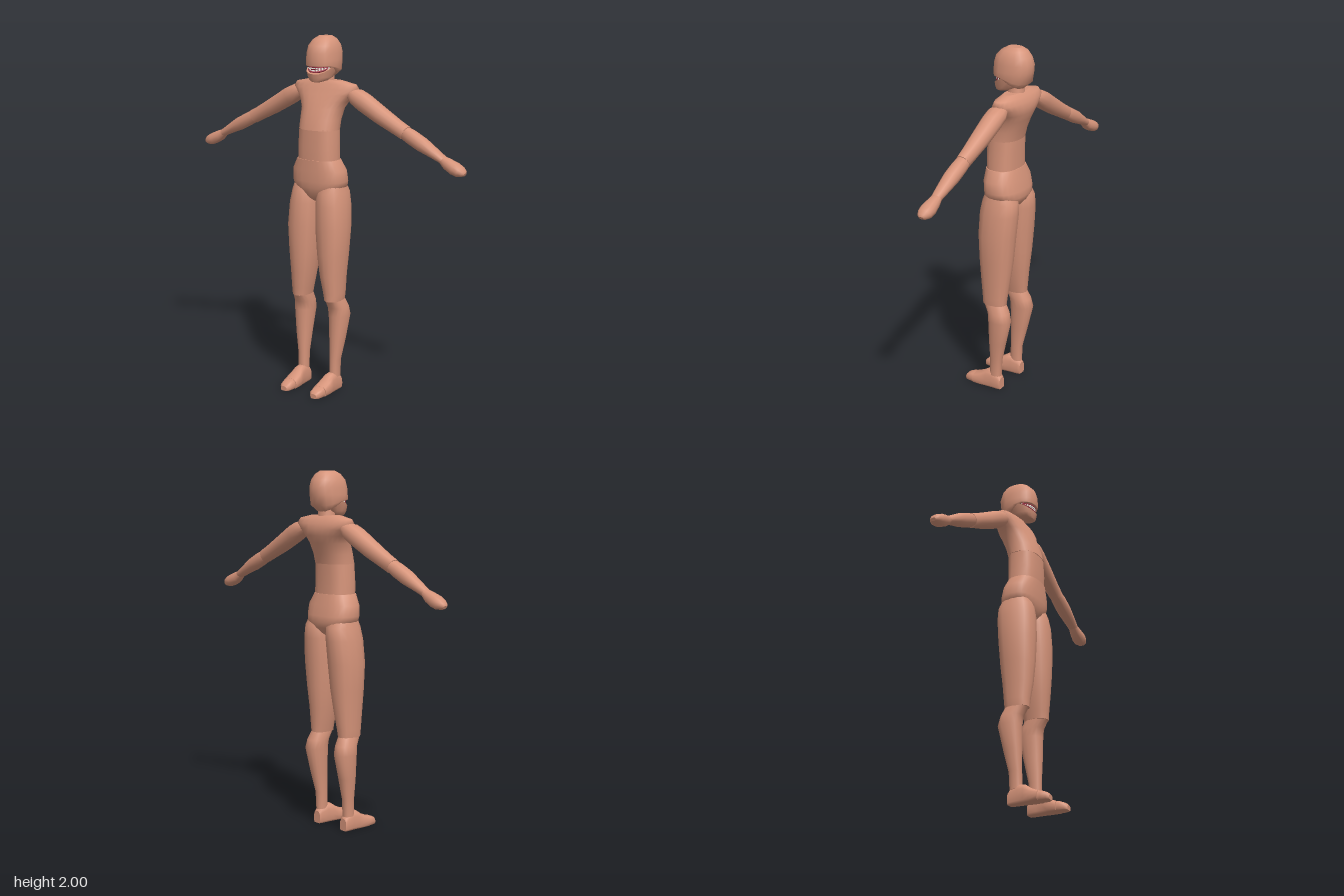
import * as THREE from 'three';

const paint = (color) => new THREE.MeshStandardMaterial({ color, roughness: 0.8 });
const skin = paint(0xd6947a), mouthRed = paint(0x5c141c), gumPink = paint(0xb03a4c), enamel = paint(0xf2efe6);
const X = new THREE.Vector3(1, 0, 0), Y = new THREE.Vector3(0, 1, 0), Z = new THREE.Vector3(0, 0, 1);

// Skin over a row of rounded cross-sections; ring = { c, a, b, lift }, with u x v along the row
function loft(name, rings, u, v, { sides = 16, power = 2.3, material = skin, floor = -1 } = {}) {
  const pos = [], index = [];
  const add = (p) => pos.push(p.x, p.y, p.z) / 3 - 1;
  const loops = rings.map(({ c, a, b, lift }) => Array.from({ length: sides }, (_, i) => {
    const t = (i / sides) * Math.PI * 2;
    const round = (k) => Math.sign(k) * Math.abs(k) ** (2 / power);
    const p = c.clone().addScaledVector(u, a * round(Math.cos(t))).addScaledVector(v, b * round(Math.sin(t)));
    if (lift) p.y += lift(p.z);
    p.y = Math.max(p.y, floor);
    return p;
  }));
  loops.forEach((loop) => loop.forEach(add));
  for (let r = 0; r < loops.length - 1; r++) {
    for (let i = 0; i < sides; i++) {
      const j = (i + 1) % sides, p = r * sides, q = p + sides;
      index.push(p + i, p + j, q + j, p + i, q + j, q + i);
    }
  }
  // End caps with their own vertices, so the rims stay crisp
  [loops[0], loops.at(-1)].forEach((loop, end) => {
    const mid = add(loop.reduce((s, p) => s.add(p), new THREE.Vector3()).divideScalar(sides));
    const first = loop.map(add)[0];
    for (let i = 0; i < sides; i++) {
      const p = first + i, q = first + (i + 1) % sides;
      index.push(mid, ...(end ? [p, q] : [q, p]));
    }
  });
  const geo = new THREE.BufferGeometry();
  geo.setAttribute('position', new THREE.Float32BufferAttribute(pos, 3));
  geo.setIndex(index);
  geo.computeVertexNormals();
  const mesh = new THREE.Mesh(geo, material);
  mesh.name = name;
  return mesh;
}

// Upright part; rows of [y, half width, front z, back z, lift], from the bottom up
const upright = (name, rows, options) => loft(name, rows.map(([y, w, f, b, lift]) => (
  { c: new THREE.Vector3(0, y, (f + b) / 2), a: (f - b) / 2, b: w, lift })), Z, X, options);

// Leg part; rows of [y, inner x, outer x, front z, back z]
const leg = (name, rows) => loft(name, rows.map(([y, i, o, f, b]) => (
  { c: new THREE.Vector3((i + o) / 2, y, (f + b) / 2), a: (f - b) / 2, b: (o - i) / 2 })), Z, X);

// Arm part; rows of [x, y, half thickness, half depth], from the shoulder out
const armUp = new THREE.Vector3(0.47, 0.88, 0).normalize();
const arm = (name, rows) => loft(name, rows.map(([x, y, a, b]) => (
  { c: new THREE.Vector3(x, y, -0.09), a, b })), armUp, Z, { sides: 12 });

// Foot part; rows of [z, inner x, outer x, top y], from the heel forward
const footPart = (name, rows) => loft(name, rows.map(([z, i, o, top]) => (
  { c: new THREE.Vector3((i + o) / 2, top * 0.4, z), a: (o - i) / 2, b: top * 0.6 })), X, Y, { floor: 0, power: 2.6 });

function mirrored(mesh, name) {
  const geo = mesh.geometry.clone().scale(-1, 1, 1);
  geo.index.array.reverse();
  geo.computeVertexNormals();
  const copy = new THREE.Mesh(geo, mesh.material);
  copy.name = name;
  return copy;
}

function createHead() {
  const head = new THREE.Group();
  head.name = 'head';
  const clamp = THREE.MathUtils.clamp;
  const nape = (d) => (z) => -d * clamp((-0.03 - z) / 0.1, 0, 1);
  const hinge = (z) => 0.042 * clamp((0.036 - z) / 0.07, 0, 1) - 0.05 * clamp((-0.06 - z) / 0.06, 0, 1);
  head.add(
    upright('skull', [
      [1.84, 0.078, 0.04, -0.125, nape(0.065)], [1.843, 0.087, 0.043, -0.168, nape(0.03)],
      [1.87, 0.087, 0.044, -0.178], [1.91, 0.084, 0.042, -0.182], [1.95, 0.077, 0.03, -0.17],
      [1.982, 0.058, 0, -0.147], [2, 0.033, -0.035, -0.118],
    ]),
    upright('jaw', [
      [1.754, 0.025, 0.026, -0.01], [1.763, 0.05, 0.03, -0.055], [1.782, 0.068, 0.035, -0.1],
      [1.798, 0.08, 0.037, -0.12, hinge],
    ]),
    upright('palate', [[1.836, 0.07, 0.03, -0.1], [1.839, 0.07, 0.03, -0.1]], { material: mouthRed }),
    upright('mouthFloor', [[1.799, 0.07, 0.028, -0.1, hinge], [1.803, 0.07, 0.028, -0.1, hinge]], { material: mouthRed }),
  );
  const tongue = new THREE.Mesh(new THREE.SphereGeometry(1, 14, 10).scale(0.036, 0.008, 0.045), gumPink);
  tongue.name = 'tongue';
  tongue.position.set(0, 1.816, -0.025);
  tongue.rotation.x = 0.5;
  head.add(tongue);
  // Upper and lower gums, each with a row of teeth along the same arc
  for (const [row, y, step] of [['upper', 1.836, -0.006], ['lower', 1.804, 0.006]]) {
    const at = (t) => {
      const z = -0.04 + 0.068 * Math.cos(t);
      return new THREE.Vector3(0.071 * Math.sin(t), y + (row === 'lower' ? hinge(z) : 0), z);
    };
    const angles = Array.from({ length: 11 }, (_, i) => (i - 5) * 0.23);
    const curve = new THREE.CatmullRomCurve3(angles.map(at));
    const gum = new THREE.Mesh(new THREE.TubeGeometry(curve, 24, 0.005, 6), gumPink);
    gum.name = row + 'Gum';
    head.add(gum);
    for (const t of angles) {
      const tooth = new THREE.Mesh(new THREE.BoxGeometry(0.011, 0.009, 0.005), enamel);
      tooth.name = row + 'Tooth';
      tooth.position.copy(at(t));
      tooth.position.y += step;
      tooth.rotation.y = t;
      head.add(tooth);
    }
  }
  return head;
}

export function createModel() {
  const model = new THREE.Group();
  model.name = 'figure';

  // Trunk
  model.add(
    createHead(),
    upright('neck', [[1.7, 0.06, -0.03, -0.14], [1.755, 0.047, -0.04, -0.128], [1.82, 0.045, -0.035, -0.125]]),
    upright('chest', [
      [1.495, 0.117, 0.068, -0.112], [1.55, 0.118, 0.056, -0.125], [1.61, 0.126, 0.033, -0.148],
      [1.65, 0.15, 0.015, -0.163], [1.685, 0.182, -0.002, -0.168], [1.715, 0.212, -0.018, -0.16],
      [1.742, 0.195, -0.03, -0.145], [1.76, 0.11, -0.043, -0.122],
    ], { sides: 24 }),
    upright('abdomen', [[1.32, 0.12, 0.066, -0.105], [1.4, 0.118, 0.068, -0.105], [1.5, 0.113, 0.064, -0.108]],
      { sides: 20, power: 2.6 }),
    upright('pelvis', [
      [1.095, 0.02, 0.02, -0.08], [1.115, 0.06, 0.045, -0.105], [1.145, 0.115, 0.06, -0.13],
      [1.175, 0.154, 0.068, -0.142], [1.21, 0.163, 0.072, -0.138], [1.27, 0.16, 0.072, -0.125],
      [1.33, 0.126, 0.071, -0.108],
    ], { sides: 24, power: 2.5 }),
  );

  // Limbs of the left side, then their mirror images
  const limbs = {
    Thigh: leg('', [
      [0.535, 0.064, 0.157, 0.055, -0.086], [0.58, 0.055, 0.162, 0.058, -0.09], [0.68, 0.035, 0.166, 0.07, -0.102],
      [0.8, 0.018, 0.176, 0.079, -0.117], [0.95, 0.005, 0.185, 0.084, -0.13], [1.08, 0.002, 0.175, 0.079, -0.142],
      [1.15, 0.006, 0.163, 0.066, -0.14], [1.2, 0.02, 0.15, 0.045, -0.11],
    ]),
    Shin: leg('', [
      [0.08, 0.082, 0.138, 0.014, -0.055], [0.18, 0.081, 0.14, 0.012, -0.06], [0.3, 0.074, 0.159, 0.013, -0.088],
      [0.44, 0.064, 0.174, 0.014, -0.12], [0.49, 0.062, 0.17, 0.02, -0.107], [0.54, 0.066, 0.156, 0.052, -0.085],
    ]),
    Foot: footPart('', [
      [-0.06, 0.083, 0.135, 0.07], [-0.045, 0.077, 0.139, 0.09], [0, 0.073, 0.141, 0.108],
      [0.035, 0.068, 0.144, 0.103], [0.07, 0.061, 0.149, 0.078], [0.12, 0.059, 0.15, 0.056],
    ]),
    Toes: footPart('', [
      [0.1, 0.064, 0.145, 0.058], [0.135, 0.066, 0.143, 0.054], [0.165, 0.07, 0.138, 0.042], [0.18, 0.085, 0.124, 0.027],
    ]),
    UpperArm: arm('', [
      [0.165, 1.695, 0.032, 0.042], [0.2, 1.678, 0.046, 0.055], [0.25, 1.651, 0.051, 0.055],
      [0.36, 1.589, 0.047, 0.05], [0.46, 1.537, 0.041, 0.042], [0.515, 1.51, 0.04, 0.038],
    ]),
    Forearm: arm('', [
      [0.505, 1.515, 0.035, 0.036], [0.55, 1.493, 0.039, 0.041], [0.62, 1.458, 0.038, 0.042],
      [0.69, 1.422, 0.028, 0.036], [0.75, 1.39, 0.021, 0.029],
    ]),
    Hand: arm('', [
      [0.738, 1.396, 0.019, 0.027], [0.775, 1.373, 0.031, 0.034], [0.82, 1.352, 0.034, 0.042],
      [0.85, 1.339, 0.03, 0.039], [0.872, 1.331, 0.019, 0.027], [0.88, 1.327, 0.009, 0.014],
    ]),
  };
  for (const [part, mesh] of Object.entries(limbs)) {
    mesh.name = 'left' + part;
    model.add(mesh, mirrored(mesh, 'right' + part));
  }
  return model;
}
